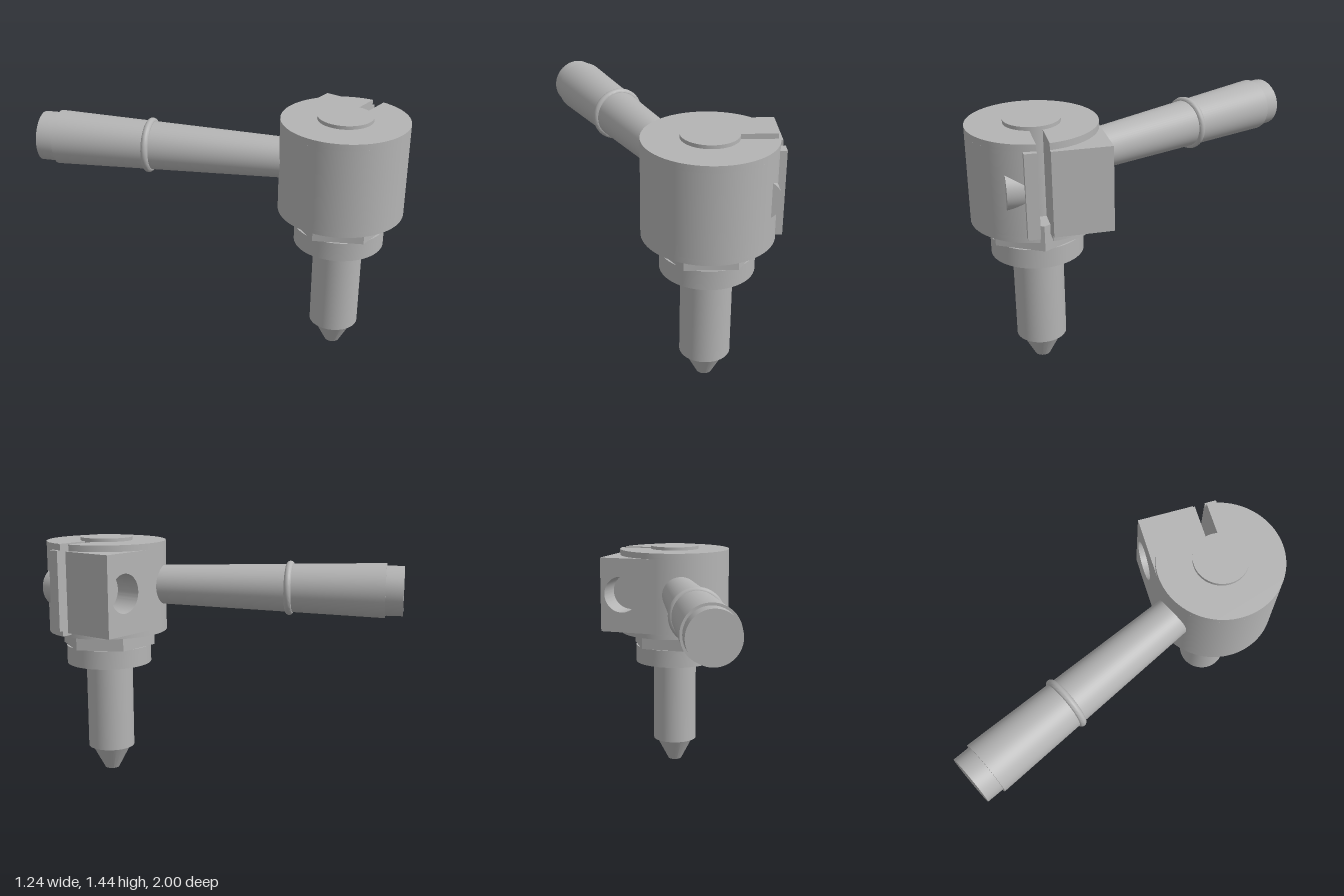
import * as THREE from 'three';
import { toCreasedNormals } from 'three/addons/utils/BufferGeometryUtils.js';

const AX = 0.245, AZ = 0.645;          // vertical axis of the clamp head
const R = 0.352, SLOT = 0.034;         // head radius, half slot width
const EAR_LOW = 0.912, EAR_HIGH = 1.38, EAR_X = 0.62;
const BOLT_X = 0.481, BOLT_Y = 1.152, BOLT_R = 0.113;

export function createModel() {
  const model = new THREE.Group();
  const metal = new THREE.MeshStandardMaterial({ color: 0xb4b4b4 });
  metal.name = 'grey metal';

  function add(name, geometry, parent = model) {
    const mesh = new THREE.Mesh(toCreasedNormals(geometry, 0.5), metal);
    mesh.name = name;
    parent.add(mesh);
    return mesh;
  }

  // Upright round part on the head axis, between two heights
  function post(name, rTop, rBottom, y0, y1, sides = 64) {
    const g = new THREE.CylinderGeometry(rTop, rBottom, y1 - y0, sides);
    if (sides === 6) g.rotateY(Math.PI / 6);
    return add(name, g.translate(AX, (y0 + y1) / 2, AZ));
  }

  // Slice of the head: a plan outline raised from y0 to y1
  function slice(name, shape, y0, y1) {
    const g = new THREE.ExtrudeGeometry(shape, { depth: y1 - y0, bevelEnabled: false, curveSegments: 72 });
    return add(name, g.rotateX(-Math.PI / 2).translate(AX, y0, AZ));
  }

  // Pin with tapered tip, collar, hexagon and central shaft
  post('pinTip', 0.12, 0.043, 0, 0.147);
  post('pin', 0.14, 0.14, 0.147, 0.7);
  post('collar', 0.254, 0.254, 0.68, 0.79);
  post('hexagon', 0.28, 0.28, 0.79, 0.935, 6);
  post('shaft', 0.153, 0.153, 0.9, 1.437);

  // Slotted head; the middle slice leaves out the quarter filled by the ear
  const a = Math.asin(SLOT / R);
  const ring = new THREE.Shape();
  ring.absarc(0, 0, R, a, Math.PI * 2 - a, false);
  ring.lineTo(0.1, -SLOT);
  ring.lineTo(0.1, SLOT);
  const threeQuarter = new THREE.Shape();
  threeQuarter.absarc(0, 0, R, Math.PI / 2, Math.PI * 2 - a, false);
  threeQuarter.lineTo(0, -SLOT);
  slice('headBottom', ring, 0.88, EAR_LOW);
  slice('headMiddle', threeQuarter, EAR_LOW, EAR_HIGH);
  slice('headTop', ring, EAR_HIGH, 1.417);

  // Rear clamp ear with a round bolt recess
  function earPlate(name, x0, z0, z1, recessed) {
    const s = new THREE.Shape();
    s.moveTo(x0, EAR_LOW);
    s.lineTo(EAR_X, EAR_LOW);
    s.lineTo(EAR_X, EAR_HIGH);
    s.lineTo(x0, EAR_HIGH);
    if (recessed) {
      const hole = new THREE.Path();
      hole.absarc(BOLT_X, BOLT_Y, BOLT_R, 0, Math.PI * 2, true);
      s.holes.push(hole);
    }
    const g = new THREE.ExtrudeGeometry(s, { depth: z1 - z0, bevelEnabled: false, curveSegments: 48 });
    return add(name, g.translate(0, 0, z0));
  }
  earPlate('rearEarRecess', AX, AZ - R, 0.45, true);
  earPlate('rearEar', AX, 0.45, AZ - SLOT, false);

  // Front clamp lug and the bolt head standing out of the round wall
  earPlate('frontLug', 0.45, AZ + SLOT, 0.745, false);
  add('boltHead', new THREE.CylinderGeometry(BOLT_R, BOLT_R, 0.135, 48)
    .rotateX(Math.PI / 2).translate(BOLT_X, BOLT_Y, 0.7675));

  // Handle, built along +z from the head axis and swung to the back
  const handle = new THREE.Group();
  handle.name = 'handle';
  handle.position.set(AX, 1.16, AZ);
  handle.rotation.y = Math.atan2(-0.4215, -0.907);
  model.add(handle);
  function rod(name, r0, r1, t0, t1) {
    add(name, new THREE.CylinderGeometry(r1, r0, t1 - t0, 64)
      .rotateX(Math.PI / 2).translate(0, 0, (t0 + t1) / 2), handle);
  }
  rod('grip', 0.11, 0.156, 0.2, 1.651);
  rod('gripEnd', 0.142, 0.142, 1.64, 1.751);
  add('gripRing', new THREE.TorusGeometry(0.136, 0.021, 16, 64).translate(0, 0, 1.103), handle);

  return model;
}
